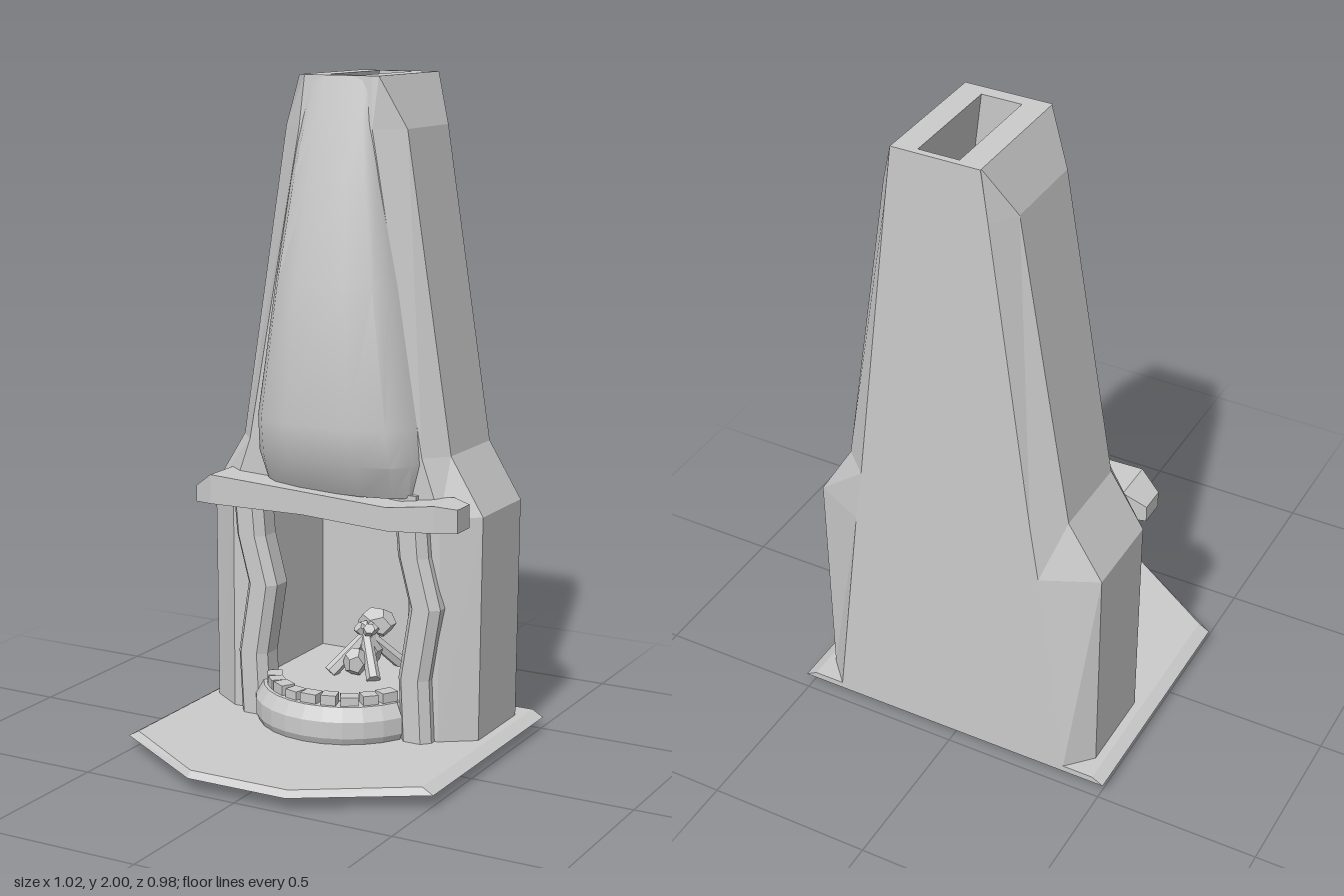
import * as THREE from 'three';
import { toCreasedNormals } from 'three/addons/utils/BufferGeometryUtils.js';

const flat = new THREE.MeshStandardMaterial({ color: 0xcccccc, flatShading: true });
const open = new THREE.MeshStandardMaterial({ color: 0xcccccc, flatShading: true, side: THREE.DoubleSide });
const smooth = new THREE.MeshStandardMaterial({ color: 0xcccccc, side: THREE.DoubleSide });

// Skins a list of equal-length cross-sections; closed rings get end caps
function loft(rows, closed = true) {
  const n = rows[0].length, index = [];
  for (let i = 0; i < rows.length - 1; i++) {
    for (let j = 0; j < (closed ? n : n - 1); j++) {
      const k = (j + 1) % n;
      const a = i * n + j, b = i * n + k, c = b + n, d = a + n;
      index.push(a, b, c, a, c, d);
    }
  }
  if (closed) {
    const last = (rows.length - 1) * n;
    for (let j = 1; j < n - 1; j++) index.push(0, j + 1, j, last, last + j, last + j + 1);
  }
  const geo = new THREE.BufferGeometry();
  geo.setAttribute('position', new THREE.Float32BufferAttribute(rows.flat(2), 3));
  geo.setIndex(index);
  geo.computeVertexNormals();
  return geo;
}

export function createModel() {
  const model = new THREE.Group();
  const add = (name, geo, mat = flat, parent = model) => {
    const mesh = new THREE.Mesh(geo, mat);
    mesh.name = name;
    parent.add(mesh);
    return mesh;
  };
  const box = (name, w, h, d, x, y, z, parent = model) => {
    const mesh = add(name, new THREE.BoxGeometry(w, h, d), flat, parent);
    mesh.position.set(x, y, z);
    return mesh;
  };

  // Hearth slab with bevelled edge
  const slab = (y, x, front, corner) => [
    [-0.16, y, front], [0.16, y, front], [x, y, corner],
    [x, y, -0.49], [-x, y, -0.49], [-x, y, corner],
  ];
  add('hearthSlab', loft([slab(0.04, 0.51, 0.49, 0.27), slab(0.06, 0.475, 0.475, 0.27)]));

  // Outer masonry: half-widths at opening, front corner, side and back corner
  const wall = (y, inner, f, s, b, zFront = -0.08, zs = -0.15, zr = -0.415) => {
    const half = [[inner, zFront], [f, zFront], [s, zs], [s, zr], [b, -0.49]];
    const right = half.map(([x, z]) => [x, y, z]);
    const left = half.map(([x, z]) => [-x, y, z]).reverse();
    return [...right, ...left];
  };
  add('lowerMasonry', loft([
    wall(0.06, 0.25, 0.35, 0.45, 0.38),
    wall(0.74, 0.25, 0.35, 0.455, 0.295),
  ], false), open);
  add('chimneyMasonry', loft([
    wall(0.74, 0, 0.35, 0.455, 0.295),
    wall(0.91, 0, 0.29, 0.35, 0.27),
    wall(1.85, 0, 0.12, 0.2, 0.15, -0.085),
    wall(2, 0, 0.11, 0.13, 0.13, -0.1, -0.105, -0.485),
  ], false), open);

  // Firebox and flue lining
  const lining = (y, x, front, back) => [[-x, y, front], [-x, y, back], [x, y, back], [x, y, front]];
  add('fireboxLining', loft([lining(0.06, 0.25, -0.08, -0.46), lining(0.74, 0.25, -0.08, -0.46)], false), open);
  add('flueLining', loft([
    [...lining(0.74, 0.25, -0.09, -0.46), [-0.25, 0.74, -0.09]],
    [...lining(2, 0.06, -0.14, -0.47), [-0.06, 2, -0.14]],
  ], false), open);

  // Flat rim around the flue
  const rect = (x, z0, z1) => [[-x, -z0], [x, -z0], [x, -z1], [-x, -z1]].map(([a, b]) => new THREE.Vector2(a, b));
  const rim = new THREE.Shape(rect(0.13, -0.1, -0.49));
  rim.holes.push(new THREE.Path(rect(0.06, -0.14, -0.47)));
  add('chimneyRim', new THREE.ShapeGeometry(rim).rotateX(-Math.PI / 2).translate(0, 2, 0), open);

  // Bulging smoke hood
  const hood = ([y, w, z, cx]) => {
    const back = -0.11, d = z - back;
    return [[-1, 0], [-0.94, 0.45], [-0.78, 0.78], [-0.4, 1], [0.4, 1], [0.78, 0.78], [0.94, 0.45], [1, 0]]
      .map(([u, v]) => [cx + u * w, y, back + v * d]);
  };
  const hoodLevels = [
    [0.79, 0.25, -0.02, 0.02], [0.89, 0.27, 0.04, 0.02], [1, 0.265, 0.055, 0.015],
    [1.4, 0.2, 0.03, 0.01], [1.7, 0.15, -0.03, 0], [1.87, 0.12, -0.065, 0], [2, 0.105, -0.1, 0],
  ];
  add('smokeHood', toCreasedNormals(loft(hoodLevels.map(hood)), 0.6), smooth);

  // Rough mantel beam: x, bottom, top, back, front
  const beam = [
    [-0.435, 0.715, 0.765, -0.085, -0.005], [-0.37, 0.72, 0.81, -0.11, 0.02],
    [-0.05, 0.725, 0.795, -0.11, 0.025], [0.23, 0.71, 0.78, -0.11, 0.025],
    [0.38, 0.72, 0.8, -0.11, 0.02], [0.44, 0.72, 0.79, -0.09, -0.01],
  ];
  add('mantelBeam', loft(beam.map(([x, y0, y1, zb, zf]) => [[x, y1, zb], [x, y1, zf], [x, y0, zf], [x, y0, zb]])));
  box('lintel', 0.56, 0.1, 0.05, 0, 0.75, -0.09);

  // Crooked wooden posts beside the opening
  const post = (x, y) => [
    [-0.03, -0.035], [0.025, -0.035], [0.05, -0.06], [0.05, -0.12], [-0.05, -0.12], [-0.05, -0.06],
  ].map(([u, z]) => [x + u, y, z]);
  const bends = [[0.01, 0.06], [0, 0.25], [0.035, 0.47], [-0.005, 0.62], [-0.015, 0.74]];
  for (const [name, x] of [['rightPost', -0.27], ['leftPost', 0.28]]) {
    add(name, loft(bends.map(([dx, y]) => post(x + dx, y))));
  }
  // Stub of the left post under the slab
  const stub = (y, x, z0, z1) => [[0.245 - x, y, z1], [0.245 + x, y, z1], [0.245 + x, y, z0], [0.245 - x, y, z0]];
  add('postStub', loft([stub(0, 0.045, -0.09, -0.06), stub(0.05, 0.055, -0.09, -0.04)]));

  // Raised fire bed with curved curb
  const curb = [[0.27, 0.06], [0.279, 0.08], [0.279, 0.13], [0.255, 0.17], [0, 0.17]]
    .map(([r, y]) => new THREE.Vector2(r, y));
  add('curvedCurb', new THREE.LatheGeometry(curb, 10, -1.12, 2.24).translate(0, 0, -0.164), open);
  box('fireBed', 0.5, 0.11, 0.4, 0, 0.115, -0.26);

  // Ring of stones on the curb
  const stones = new THREE.Group();
  stones.name = 'curbStones';
  model.add(stones);
  for (let i = 0; i < 9; i++) {
    const a = (i - 4) * 0.265;
    const s = box('curbStone', i % 2 ? 0.046 : 0.053, 0.03 + (i % 3) * 0.004, 0.045,
      0.22 * Math.sin(a), 0.181, -0.164 + 0.22 * Math.cos(a), stones);
    s.rotation.y = a;
  }

  // Stacked firewood: crossed logs and chunks
  const wood = new THREE.Group();
  wood.name = 'firewood';
  model.add(wood);
  for (const sx of [-1, 1]) {
    for (const sz of [-1, 1]) {
      const foot = new THREE.Vector3(sx * 0.075, 0.175, -0.29 + sz * 0.095);
      const tip = new THREE.Vector3(-sx * 0.02, 0.31, -0.29 - sz * 0.02);
      const dir = tip.clone().sub(foot);
      const log = add('log', new THREE.CylinderGeometry(0.018, 0.022, dir.length(), 6), flat, wood);
      log.position.copy(foot).add(tip).multiplyScalar(0.5);
      log.quaternion.setFromUnitVectors(new THREE.Vector3(0, 1, 0), dir.normalize());
    }
  }
  const chunk = (r, x, y, z, sx, sy, sz) => {
    const c = add('woodChunk', new THREE.DodecahedronGeometry(r), flat, wood);
    c.position.set(x, y, z);
    c.scale.set(sx, sy, sz);
  };
  chunk(0.05, 0.005, 0.308, -0.35, 1.25, 0.95, 1);
  chunk(0.05, 0, 0.235, -0.3, 0.9, 1.3, 1);
  chunk(0.045, 0, 0.215, -0.22, 0.85, 1, 1);
  return model;
}
